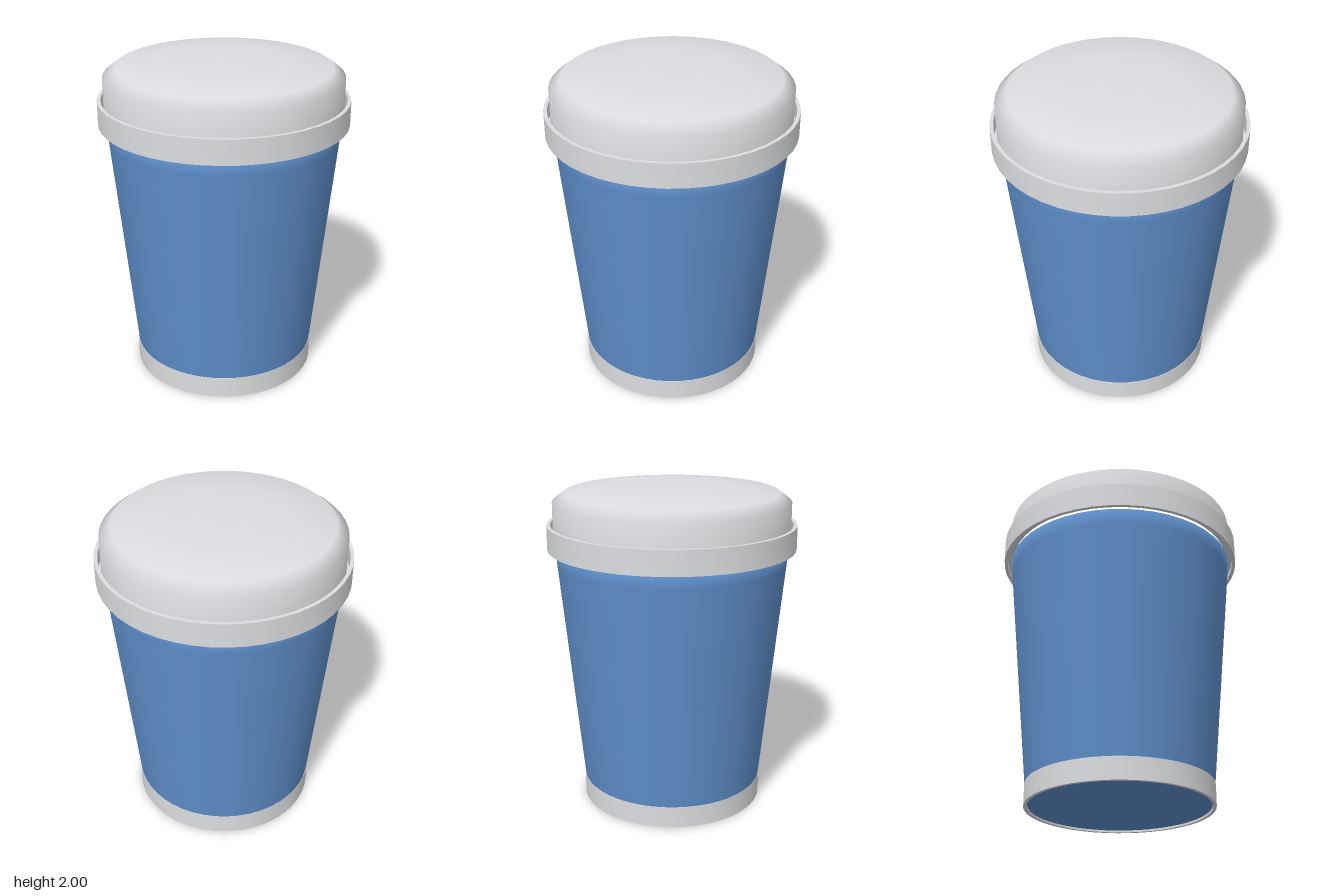
import * as THREE from 'three';
import { toCreasedNormals } from 'three/addons/utils/BufferGeometryUtils.js';

const SEGMENTS = 48;

// Revolve a [radius, height] profile, listed from the bottom up on the outside
function lathe(name, profile, material, crease) {
  let geometry = new THREE.LatheGeometry(profile.map(([r, y]) => new THREE.Vector2(r, y)), SEGMENTS);
  if (crease) geometry = toCreasedNormals(geometry, crease);
  const mesh = new THREE.Mesh(geometry, material);
  mesh.name = name;
  return mesh;
}

// Closed band with a rectangular section and sharp edges
function band(name, inner, outer, bottom, top, material) {
  return lathe(name, [[inner, bottom], [outer, bottom], [outer, top], [inner, top], [inner, bottom]], material, 0.6);
}

export function createModel() {
  const blue = new THREE.MeshStandardMaterial({ color: 0x5f8fcb });
  blue.name = 'blue';
  const white = new THREE.MeshStandardMaterial({ color: 0xdcdde0 });
  white.name = 'offWhite';

  const cup = new THREE.Group();
  cup.name = 'lidded cup';

  // Tapered body with a softly rounded upper edge, and its flat underside
  cup.add(lathe('cupBody', [[0.547, 0.012], [0.567, 0.13], [0.704, 1.54], [0.712, 1.63], [0.64, 1.67]], blue));
  cup.add(lathe('cupBottom', [[0, 0.012], [0.547, 0.012]], blue));

  // Straight foot ring around the base
  cup.add(band('footRing', 0.55, 0.57, 0, 0.135, white));

  // Lid: outer band, narrow groove floor, and rounded dome
  cup.add(band('lidBand', 0.738, 0.76, 1.625, 1.775, white));
  cup.add(band('lidGroove', 0.7, 0.74, 1.66, 1.68, white));
  cup.add(lathe('lidDome', [[0.722, 1.66], [0.722, 1.91], [0.65, 1.965], [0.37, 2], [0, 2]], white));

  return cup;
}
